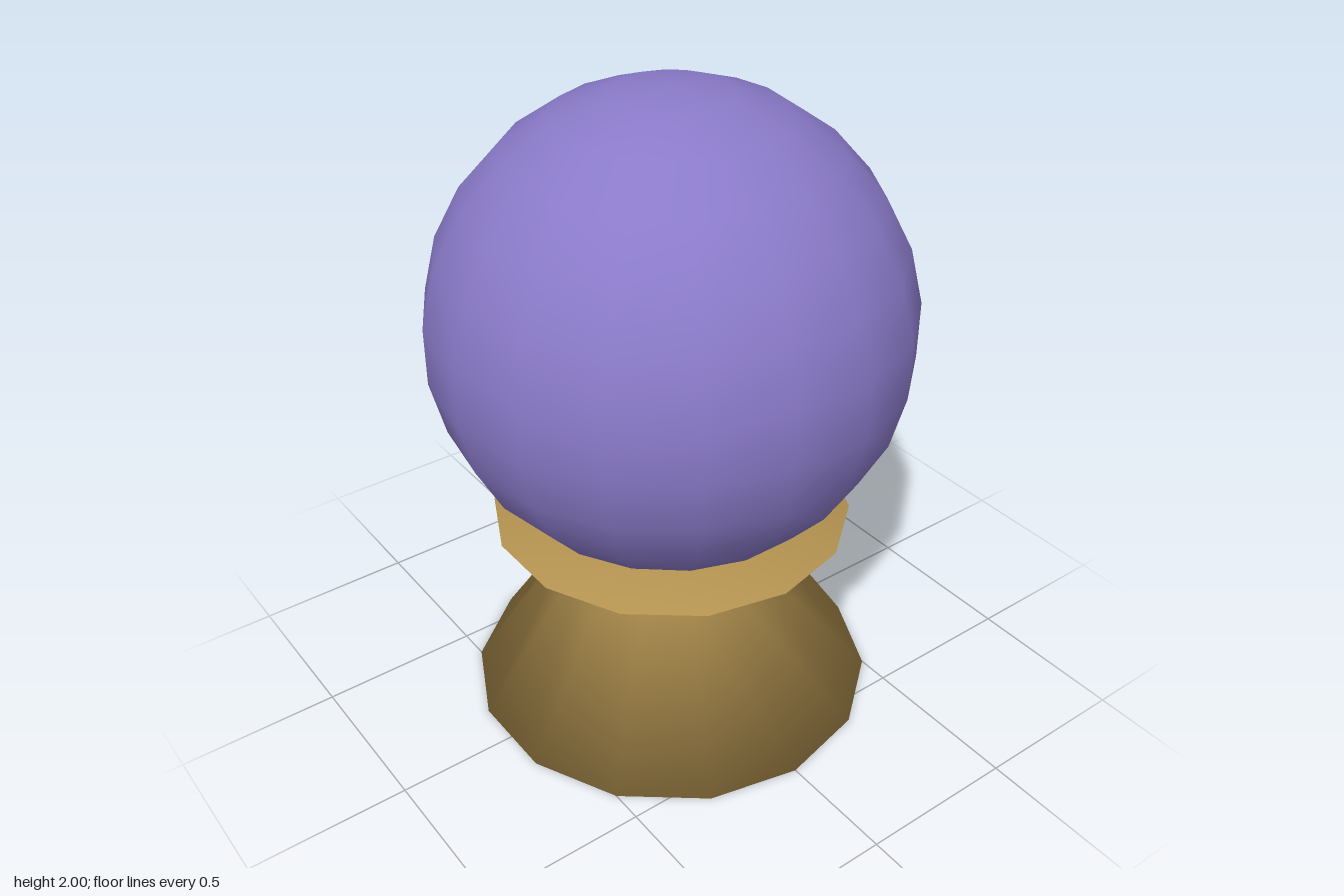
import * as THREE from 'three';

export function createModel() {
  const group = new THREE.Group();
  const purple = new THREE.MeshStandardMaterial({ color: 0x8a7ac9 });
  purple.name = 'purple glass';
  const brass = new THREE.MeshStandardMaterial({ color: 0xb39250 });
  brass.name = 'brass';

  // Turned stand: wide foot, narrow waist, flared rim, closed top and bottom
  const profile = [[0, 0], [0.64, 0], [0.32, 0.485], [0.555, 0.64], [0, 0.64]]
    .map(([r, y]) => new THREE.Vector2(r, y));
  const stand = new THREE.Mesh(new THREE.LatheGeometry(profile, 14), brass);
  stand.name = 'stand';

  // Ball resting in the stand
  const ball = new THREE.Mesh(new THREE.SphereGeometry(0.718, 18, 13), purple);
  ball.name = 'ball';
  ball.position.y = 1.282;

  group.add(stand, ball);
  return group;
}
